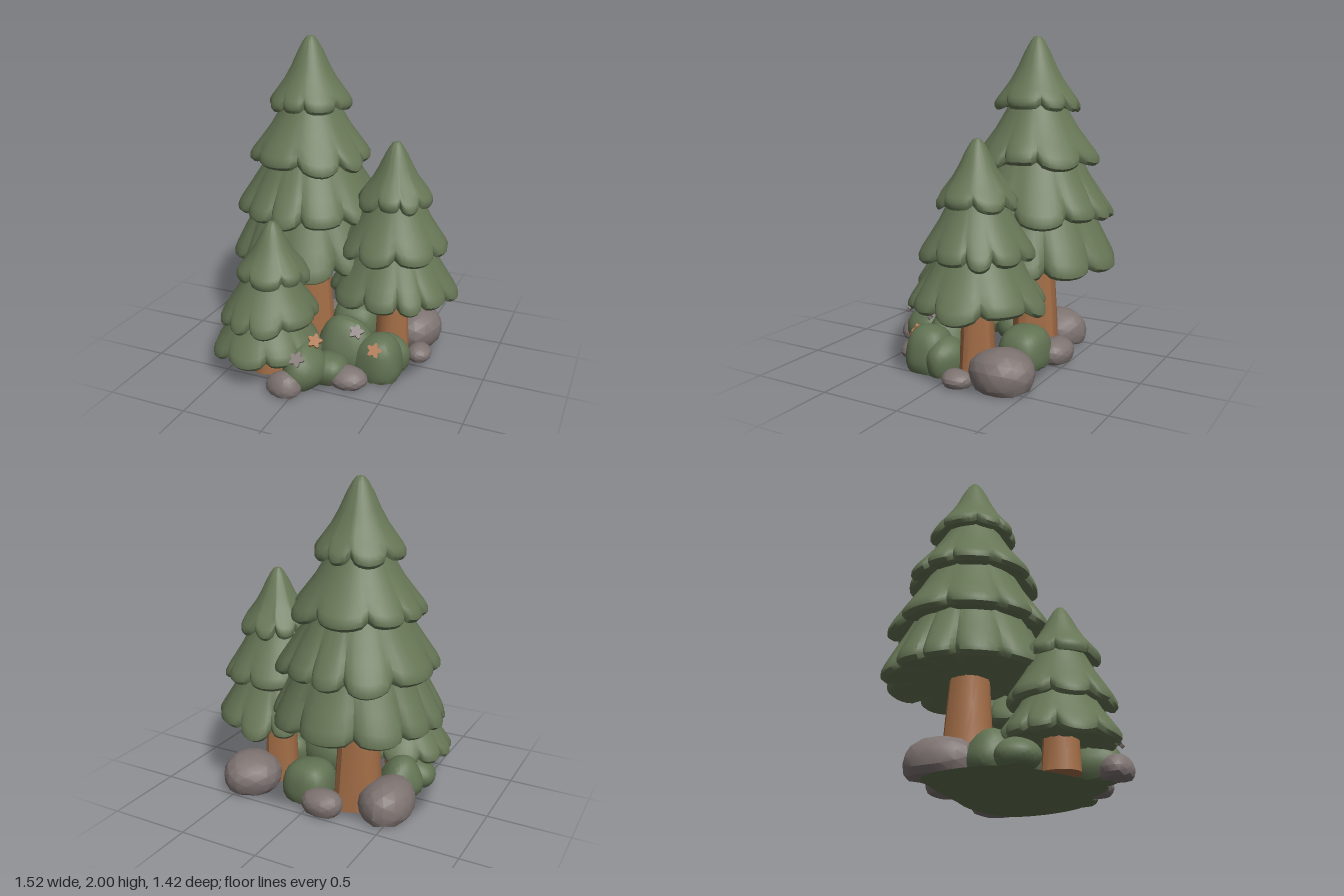
import * as THREE from 'three';
import { mergeVertices, toCreasedNormals } from 'three/addons/utils/BufferGeometryUtils.js';

const mat = (name, color) => {
  const m = new THREE.MeshStandardMaterial({ color });
  m.name = name;
  return m;
};

// small seeded random
const seeded = (seed) => () => {
  seed = (seed * 16807 + 11) % 2147483647;
  return seed / 2147483647;
};

// Skirt of drooping boughs: [radius fraction, height fraction, rim thickness]
const PROFILE = [
  [0.001, 1, 0], [0.09, 0.985, 0], [0.18, 0.91, 0], [0.31, 0.75, 0], [0.46, 0.53, 0],
  [0.64, 0.32, 0], [0.82, 0.16, 0], [0.95, 0.05, 0], [1, 0, -0.1], [1, 0, -0.6],
  [0.95, 0, -1], [0.84, 0, -0.8], [0.5, 0, -0.5], [0.001, 0, -0.5],
];

function tierGeometry({ top, rim, radius, lobes, fat, seed }) {
  const rand = seeded(seed * 7919 + 3);
  const phase = rand() * 6.28, warp = rand() * 6.28;
  const size = Array.from({ length: lobes }, () => rand() - 0.5);
  const N = lobes * 8, pos = [], idx = [];
  const thick = 0.05, y0 = rim + 0.04, height = top - y0;
  PROFILE.forEach(([f, h, lip], i) => {
    for (let j = 0; j < N; j++) {
      const t = j / 8, lobe = Math.floor(t);
      const arc = Math.sin((t - lobe) * Math.PI);
      const bulge = Math.sqrt(arc);
      const theta = (t / lobes) * Math.PI * 2;
      const a = theta + phase + 0.16 * Math.sin(2 * theta + warp);
      const edge = f * f;
      const scallop = 1 + edge * (0.13 * (bulge - 0.8) + 0.06 * size[lobe] * arc);
      const r = radius * Math.pow(f, i < 9 ? fat : 1) * scallop;
      const drop = edge * (0.045 * (0.6 - bulge) - 0.05 * size[lobe] * arc);
      pos.push(r * Math.cos(a), y0 + h * height + lip * thick + drop, r * Math.sin(a));
    }
  });
  for (let i = 0; i < PROFILE.length - 1; i++) {
    for (let j = 0; j < N; j++) {
      const k = (j + 1) % N;
      const a = i * N + j, b = i * N + k, c = a + N, d = b + N;
      idx.push(a, b, c, b, d, c);
    }
  }
  const g = new THREE.BufferGeometry();
  g.setAttribute('position', new THREE.Float32BufferAttribute(pos, 3));
  g.setIndex(idx);
  return toCreasedNormals(g, 0.6);
}

// Ridged trunk, flared at the roots
function trunkGeometry(rTop, rBottom, height) {
  const g = new THREE.CylinderGeometry(rTop, rBottom, height, 20, 4);
  g.translate(0, height / 2, 0);
  const p = g.attributes.position;
  for (let i = 0; i < p.count; i++) {
    const a = Math.atan2(p.getZ(i), p.getX(i));
    const low = 1 - p.getY(i) / height;
    const s = 1 + 0.03 * Math.sin(a * 5 + 1) + 0.06 * low * low * Math.sin(a * 4);
    p.setX(i, p.getX(i) * s);
    p.setZ(i, p.getZ(i) * s);
  }
  return toCreasedNormals(g, 0.45);
}

// Lumpy half-buried ball with a flat bottom, used for bushes and rocks
function moundGeometry(rx, h, rz, seed, lump, detail) {
  let g = new THREE.IcosahedronGeometry(1, detail);
  g.deleteAttribute('uv');
  g.deleteAttribute('normal');
  g = mergeVertices(g, 1e-4);
  const p = g.attributes.position, v = new THREE.Vector3();
  for (let i = 0; i < p.count; i++) {
    v.fromBufferAttribute(p, i);
    const n = Math.sin(v.x * 4 + seed * 2.1) + Math.sin(v.y * 4 + seed * 1.3) + Math.sin(v.z * 4 + seed * 3.7);
    v.multiplyScalar(1 + (lump * n) / 3);
    p.setXYZ(i, v.x * rx, Math.max(0, h * (0.37 + 0.63 * v.y)), v.z * rz);
  }
  return toCreasedNormals(g, 0.4);
}

// Five-petalled blossom lying in the xy plane
function flowerGeometry(radius) {
  const s = new THREE.Shape();
  for (let i = 0; i <= 40; i++) {
    const a = (i / 40) * Math.PI * 2;
    const r = radius * (0.82 + 0.22 * Math.cos(5 * a));
    if (i === 0) s.moveTo(r, 0);
    else s.lineTo(r * Math.cos(a), r * Math.sin(a));
  }
  return new THREE.ExtrudeGeometry(s, { depth: 0.02, bevelEnabled: false });
}

export function createModel() {
  const root = new THREE.Group();
  root.name = 'pineGrove';
  const foliage = mat('pine green', 0x677656);
  const leaf = mat('bush green', 0x617252);
  const bark = mat('bark brown', 0xa26d46);
  const stone = mat('stone grey', 0x7d7371);
  const orange = mat('blossom orange', 0xa86c3e);
  const pale = mat('blossom grey', 0x867c7a);

  const add = (parent, name, geometry, material, x = 0, y = 0, z = 0) => {
    const m = new THREE.Mesh(geometry, material);
    m.name = name;
    m.position.set(x, y, z);
    parent.add(m);
    return m;
  };
  const lift = 0.003;

  // Trees; each tier is [top, rim, radius, lobes, fatness], lean shifts each lower tier in x
  const trees = [
    { name: 'tallTree', x: -0.235, z: -0.205, lean: 0, trunk: [0.1, 0.16, 0.85],
      tiers: [[2.0, 1.57, 0.262, 8, 1], [1.8, 1.24, 0.385, 9, 0.9], [1.62, 0.91, 0.47, 10, 0.8], [1.42, 0.6, 0.505, 11, 0.65]] },
    { name: 'mediumTree', x: 0.365, z: -0.125, lean: 0, trunk: [0.08, 0.115, 0.7],
      tiers: [[1.41, 1.04, 0.23, 8, 1], [1.28, 0.74, 0.33, 9, 0.85], [1.04, 0.455, 0.392, 10, 0.75]] },
    { name: 'smallTree', x: -0.235, z: 0.365, lean: -0.022, trunk: [0.085, 0.11, 0.4],
      tiers: [[0.98, 0.64, 0.218, 7, 1], [0.86, 0.375, 0.295, 8, 0.85], [0.62, 0.165, 0.325, 9, 0.75]] },
  ];
  trees.forEach((t, ti) => {
    const g = new THREE.Group();
    g.name = t.name;
    g.position.set(t.x, 0, t.z);
    add(g, 'trunk', trunkGeometry(...t.trunk), bark, t.lean * 1.5, lift);
    t.tiers.forEach(([top, rim, radius, lobes, fat], i) =>
      add(g, 'boughTier', tierGeometry({ top, rim, radius, lobes, fat, seed: ti * 10 + i + 1 }), foliage, t.lean * i));
    root.add(g);
  });

  // Bushes: [x, z, radius x, height, radius z]
  [
    [0.01, 0.45, 0.135, 0.26, 0.15], [0.17, 0.17, 0.18, 0.34, 0.16], [0.38, 0.19, 0.17, 0.27, 0.14],
    [0.41, 0.08, 0.14, 0.21, 0.13], [0.13, 0.35, 0.11, 0.18, 0.13], [-0.47, 0.2, 0.11, 0.17, 0.12],
    [-0.42, 0.03, 0.14, 0.23, 0.15], [0.06, -0.28, 0.17, 0.25, 0.16],
  ].forEach(([x, z, rx, h, rz], i) => add(root, 'bush', moundGeometry(rx, h, rz, i + 1, 0.13, 4), leaf, x, lift, z));

  // Rocks: [x, z, radius x, height, radius z]
  [
    [0.45, -0.34, 0.185, 0.23, 0.205], [0.56, -0.1, 0.08, 0.1, 0.09], [0.26, 0.38, 0.115, 0.125, 0.095],
    [-0.055, 0.6, 0.11, 0.135, 0.095], [-0.455, -0.25, 0.175, 0.22, 0.21], [-0.1, -0.42, 0.13, 0.145, 0.11],
  ].forEach(([x, z, rx, h, rz], i) => add(root, 'rock', moundGeometry(rx, h, rz, i + 9, 0.08, 2), stone, x, lift, z));

  // Blossoms facing out of the bushes: position then facing direction
  [
    [orange, 0.065, 0.275, 0.425, 0.3, 0.8, 0.6], [orange, 0.395, 0.22, 0.295, 0.3, 0.6, 0.9],
    [pale, 0.02, 0.225, 0.58, 0.1, 0.7, 0.8], [pale, 0.26, 0.29, 0.245, 0.3, 0.8, 0.7],
  ].forEach(([m, x, y, z, nx, ny, nz]) => {
    const f = add(root, 'blossom', flowerGeometry(0.045), m, x, y, z);
    f.lookAt(x + nx, y + ny, z + nz);
  });

  // Mossy underside of the whole grove, facing down
  const outline = [
    [0.6, -0.07], [0.56, -0.33], [0.28, -0.44], [0.02, -0.42], [-0.23, -0.4], [-0.52, -0.33],
    [-0.6, -0.12], [-0.55, 0.17], [-0.3, 0.36], [-0.08, 0.46], [0.1, 0.5], [0.3, 0.33], [0.5, 0.2],
  ].map(([x, z]) => new THREE.Vector3(x, z, 0));
  const curve = new THREE.CatmullRomCurve3(outline, true).getPoints(60).slice(0, -1);
  const moss = new THREE.ShapeGeometry(new THREE.Shape(curve.map((p) => new THREE.Vector2(p.x, p.y))));
  moss.rotateX(Math.PI / 2);
  add(root, 'mossyUnderside', moss, leaf);

  return root;
}
